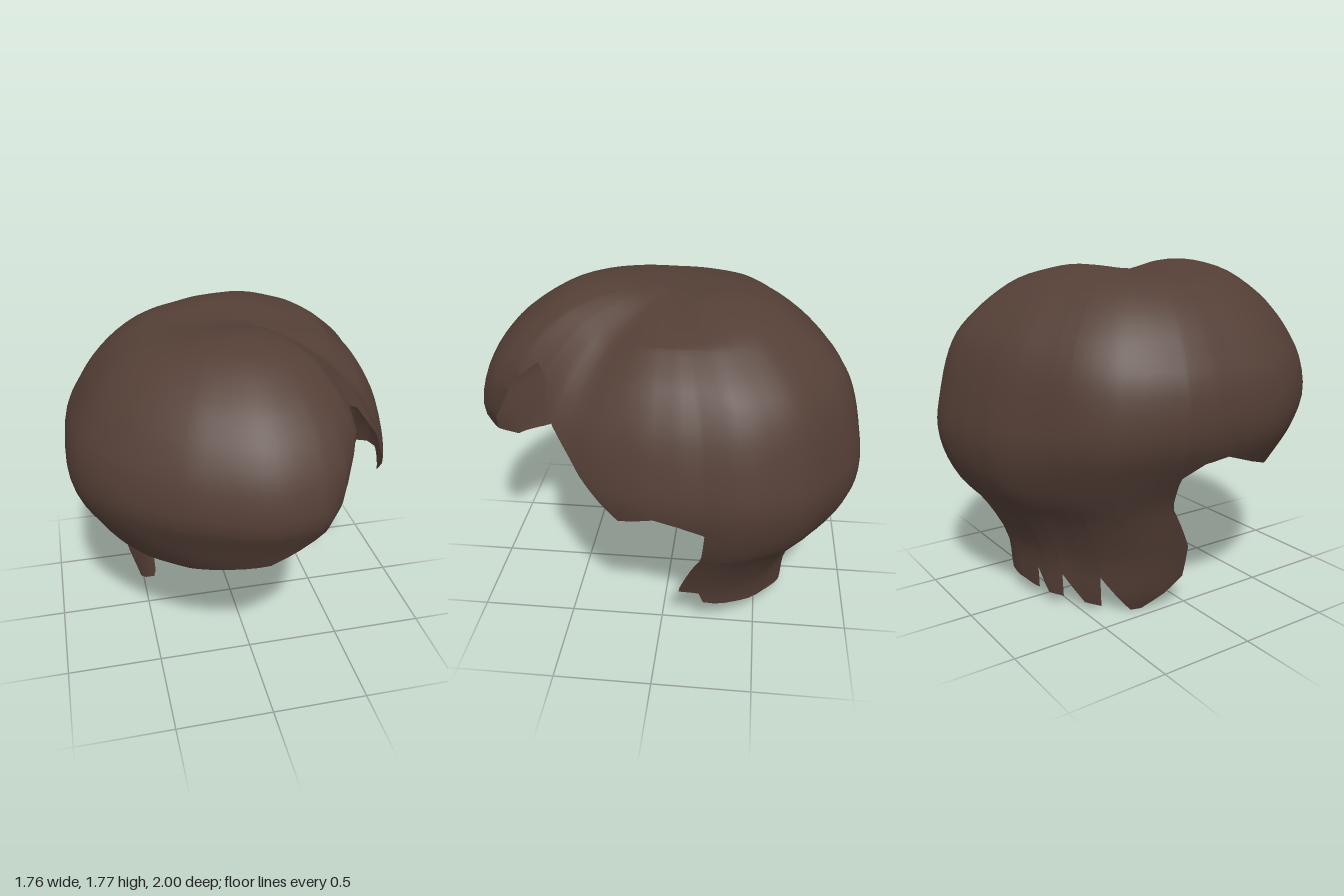
import * as THREE from 'three';

const RAD = Math.PI / 180;

// Angles are degrees around the vertical axis: 0 = front, 90 = +x, 180 = back.
// Widest radius of the hair in each direction
const PLAN = [[0, 1], [17, 1], [24, 0.985], [31, 0.965], [37, 0.9], [44, 0.87], [50, 0.86], [59, 0.83],
  [76, 0.84], [90, 0.86], [103, 0.89], [120, 0.985], [137, 1.03], [144, 1.025], [159, 1.045], [166, 1.03], [175, 0.985],
  [186, 0.95], [207, 0.9], [228, 0.915], [248, 0.893], [270, 0.88], [293, 0.92], [324, 0.93], [342, 0.955], [360, 1]];

// Height of the hairline in each direction: swept fringe, parting, ears, ragged nape
const HEM = [[0, 0.83], [15, 1], [23, 1.18], [30, 1.37], [36, 1.49], [42, 1.46], [50, 1.3], [64, 1.05],
  [78, 0.85], [90, 0.9], [98, 0.87], [105.5, 0.82], [106, 0.3], [114, 0.28], [116, 0.21], [141, 0.15],
  [162, 0.09], [180, 0.07], [183.5, 0.07], [184, 0.19], [190, 0.06], [198.5, 0.06], [199, 0.19],
  [210, 0.04], [217, 0.03], [217.6, 0.21], [229, 0], [234, 0], [244, 0.08], [252, 0.17], [253, 0.36],
  [253.5, 0.8], [261, 0.87], [270, 0.89], [284, 0.82], [300, 0.75], [315, 0.73], [333, 0.735], [345, 0.77], [360, 0.83]];

// Vertical sections from crown to nape; crown heights and lower radius factors
const CROWN = [0, 0.15, 0.28, 0.42, 0.57];
const LEVELS = [1.6, 1.5, 1.4, 1.27, 1.1, 0.95, 0.8, 0.65, 0.52, 0.3, 0.1, 0];
const section = (heights, factors) => new THREE.SplineCurve([
  ...CROWN.map((s, i) => new THREE.Vector2(s, heights[i])),
  ...LEVELS.map((y, i) => new THREE.Vector2(factors[i], y)),
]);
const front = section([1.725, 1.745, 1.768, 1.758, 1.712],
  [0.74, 0.84, 0.915, 0.975, 1, 0.93, 0.86, 0.76, 0.7, 0.65, 0.6, 0.58]);
const back = section([1.725, 1.738, 1.755, 1.733, 1.685],
  [0.7, 0.81, 0.89, 0.942, 0.98, 1, 0.976, 0.906, 0.795, 0.676, 0.65, 0.64]);
const leftSide = section([1.725, 1.71, 1.685, 1.655, 1.62],
  [0.62, 0.76, 0.845, 0.92, 0.975, 1, 0.965, 0.91, 0.84, 0.745, 0.69, 0.66]);
const rightSide = section([1.725, 1.727, 1.722, 1.71, 1.68],
  [0.71, 0.82, 0.894, 0.973, 1, 0.97, 0.87, 0.77, 0.72, 0.645, 0.57, 0.5]);

// Section in any direction, blended from the four
function sectionAt(a, p) {
  const c = Math.cos(a * RAD), s = Math.sin(a * RAD);
  const fore = (c > 0 ? front : back).getPoint(p);
  return fore.lerp((s > 0 ? leftSide : rightSide).getPoint(p), s > 0 && c < 0 ? s ** 4 : s * s);
}

function lookup(table, a, smooth) {
  a = ((a % 360) + 360) % 360;
  let i = 0;
  while (i < table.length - 2 && table[i + 1][0] <= a) i++;
  const [a0, v0] = table[i], [a1, v1] = table[i + 1];
  let t = (a - a0) / (a1 - a0);
  if (smooth) t = t * t * (3 - 2 * t) * 0.5 + t * 0.5;
  return v0 + (v1 - v0) * t;
}

const bump = (a, centre, width) => Math.exp(-(((a - centre) / width) ** 2));

// Section parameter at which the hair reaches height y
function paramAt(a, y) {
  let lo = 0.2, hi = 1;
  for (let k = 0; k < 24; k++) {
    const mid = (lo + hi) / 2;
    if (sectionAt(a, mid).y > y) lo = mid; else hi = mid;
  }
  return hi;
}

function hairPoint(a, p) {
  const { x: s, y } = sectionAt(a, p);
  // nape sides sweep forward below the ears
  const side = a < 180 ? 1 : -1;
  const fromFront = a < 180 ? a : 360 - a;
  const fade = fromFront < 100 ? 0 : Math.max(0, Math.min(1, (150 - fromFront) / 45));
  const b = a - side * (side > 0 ? 7 : 15) * Math.max(0, Math.min(1, (0.62 - y) / 0.3)) * fade;
  // the fringe curls inward towards its edge
  const nearEdge = Math.max(0, 1 - (y - lookup(HEM, a, false)) / 0.3);
  const curl = 1 - 0.07 * nearEdge ** 2 * bump(a, 24, 9);
  const r = lookup(PLAN, b, true) * s * curl;
  // shallow parting behind the fringe
  const part = bump(a, 58, 17) * s * s * Math.max(0, 1 - s) * 0.4;
  return [r * Math.sin(b * RAD), y - part, r * Math.cos(b * RAD)];
}

function hairGeometry() {
  const angles = HEM.map(h => h[0]).filter(a => a < 360);
  for (let a = 0; a < 360; a += 4) if (!angles.some(h => Math.abs(h - a) < 1.2)) angles.push(a);
  angles.sort((m, n) => m - n);

  const rows = 44, positions = [...hairPoint(0, 0)], index = [], columns = [];
  // each column runs from the crown and stops at the hairline
  for (const a of angles) {
    const end = paramAt(a, lookup(HEM, a, false)), ids = [0];
    const last = Math.ceil(end * rows);
    for (let j = 1; j <= rows; j++) {
      if (j > last) { ids.push(ids[last]); continue; }
      ids.push(positions.length / 3);
      positions.push(...hairPoint(a, Math.min(j / rows, end)));
    }
    columns.push({ ids, last });
  }
  const tri = (a, b, c) => { if (a !== b && b !== c && a !== c) index.push(a, b, c); };
  columns.forEach(({ ids: c, last }, i) => {
    const { ids: d, last: nextLast } = columns[(i + 1) % columns.length];
    // leave a clean upright edge where the hairline drops sharply
    const stop = Math.abs(last - nextLast) > 4 ? Math.min(last, nextLast) : rows;
    for (let j = 0; j < stop; j++) {
      tri(c[j], c[j + 1], d[j + 1]);
      tri(c[j], d[j + 1], d[j]);
    }
  });
  const g = new THREE.BufferGeometry();
  g.setAttribute('position', new THREE.Float32BufferAttribute(positions, 3));
  g.setIndex(index);
  g.computeVertexNormals();
  return g;
}

export function createModel() {
  const group = new THREE.Group();
  group.name = 'hairpiece';
  const brown = new THREE.MeshStandardMaterial({ color: 0x543f36, side: THREE.DoubleSide });
  brown.name = 'dark brown hair';
  const hair = new THREE.Mesh(hairGeometry(), brown);
  hair.name = 'hairShell';
  group.add(hair);
  return group;
}
